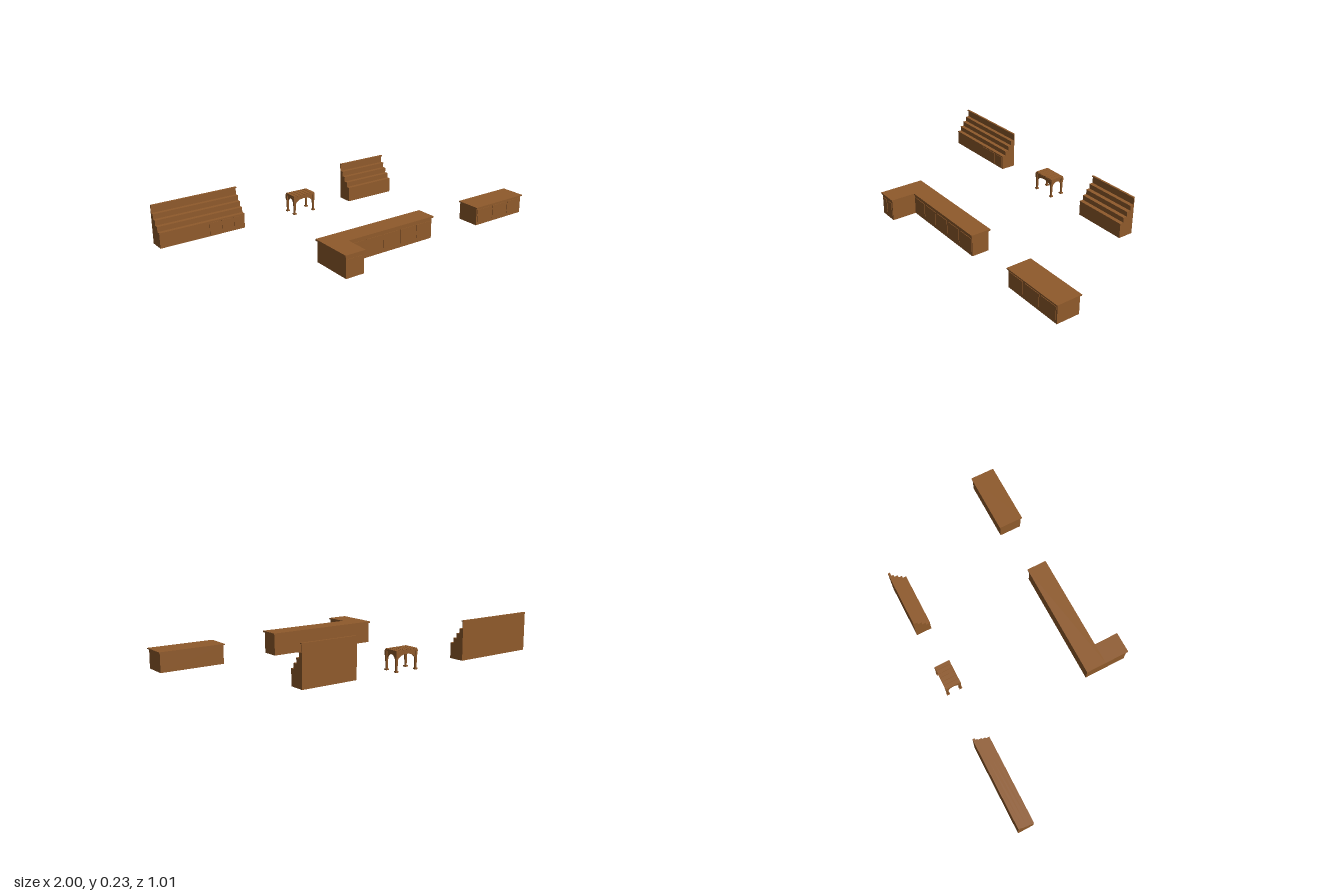
import * as THREE from 'three';

const wood = new THREE.MeshStandardMaterial({ color: 0x8f5a2b });
wood.name = 'brown wood';

function mesh(parent, name, geometry) {
  const m = new THREE.Mesh(geometry, wood);
  m.name = name;
  parent.add(m);
  return m;
}

// Box given by its minimum and maximum along each axis
function box(parent, name, x0, x1, y0, y1, z0, z1) {
  const m = mesh(parent, name, new THREE.BoxGeometry(x1 - x0, y1 - y0, z1 - z0));
  m.position.set((x0 + x1) / 2, (y0 + y1) / 2, (z0 + z1) / 2);
  return m;
}

function group(parent, name) {
  const g = new THREE.Group();
  g.name = name;
  parent.add(g);
  return g;
}

// Row of thin cupboard doors across a front face
function doors(parent, count, x0, x1, y0, y1, z) {
  const pitch = (x1 - x0) / count;
  for (let i = 0; i < count; i++) {
    const a = x0 + i * pitch + 0.008, b = x0 + (i + 1) * pitch - 0.008;
    box(parent, 'door', a, b, y0, y1, z, z + 0.003);
  }
}

// Outline in the z-y plane, extruded along x from x0 to x1
function extrudeAlongX(points, x0, x1) {
  const shape = new THREE.Shape(points.map(([z, y]) => new THREE.Vector2(z, y)));
  const geo = new THREE.ExtrudeGeometry(shape, { depth: x1 - x0, bevelEnabled: false });
  return geo.rotateY(-Math.PI / 2).translate(x1, 0, 0);
}

// Stepped display shelf, hollow and open underneath
function displayShelf(parent, name, x0, x1) {
  const g = group(parent, name);
  const t = 0.004, front = -0.407, back = -0.5, base = 0.09, rise = 0.03, run = 0.0225;
  const outline = [[back, 0], [front, 0], [front, base]];
  for (let i = 0; i < 4; i++) {
    const z = front - i * run, y = base + i * rise;
    const zNext = i < 3 ? z - run : back + t;
    // tread with a small lip, and the riser behind it
    box(g, 'tread', x0, x1, y - t, y, zNext - t / 2, z + 0.002);
    if (i < 3) {
      box(g, 'riser', x0 + t, x1 - t, y, y + rise - t, zNext - t, zNext);
      outline.push([zNext, y], [zNext, y + rise]);
    }
  }
  outline.push([back, base + 3 * rise]);
  mesh(g, 'sidePanel', extrudeAlongX(outline, x0, x0 + t));
  mesh(g, 'sidePanel', extrudeAlongX(outline, x1 - t, x1));
  box(g, 'frontPanel', x0 + t, x1 - t, 0, base - t, front - t, front);
  box(g, 'backPanel', x0, x1, 0, 0.223, back, back + t);
  box(g, 'topCap', x0, x1, 0.222, 0.227, back, back + 0.013);
  return g;
}

// Small table on four shaped legs with arched aprons
function smallTable(parent) {
  const g = group(parent, 'smallTable');
  const w = 0.148, d = 0.092, apronTop = 0.107;

  // top panel and raised slats
  box(g, 'topPanel', -w / 2, w / 2, 0.104, 0.112, -d / 2, d / 2);
  const slats = 6, pitch = w / slats;
  for (let i = 0; i < slats; i++) {
    const x = -w / 2 + i * pitch;
    box(g, 'slat', x + 0.0015, x + pitch - 0.0015, 0.112, 0.116, -d / 2 + 0.002, d / 2 - 0.002);
  }

  // turned legs with square feet and shoulder blocks
  for (const sx of [-1, 1]) for (const sz of [-1, 1]) {
    const leg = group(g, 'leg');
    leg.position.set(sx * (w / 2 - 0.007), 0, sz * (d / 2 - 0.007));
    box(leg, 'foot', -0.009, 0.009, 0, 0.007, -0.009, 0.009);
    box(leg, 'shoulder', -0.008, 0.008, 0.08, apronTop, -0.008, 0.008);
    const shaft = mesh(leg, 'shaft', new THREE.CylinderGeometry(0.009, 0.006, 0.075, 8));
    shaft.position.y = 0.044;
  }

  // arched apron on each side
  const apron = (span) => {
    const s = new THREE.Shape();
    s.moveTo(-span / 2, apronTop);
    s.lineTo(-span / 2, 0.055);
    s.quadraticCurveTo(-span / 2 + 0.008, 0.09, 0, 0.092);
    s.quadraticCurveTo(span / 2 - 0.008, 0.09, span / 2, 0.055);
    s.lineTo(span / 2, apronTop);
    return new THREE.ExtrudeGeometry(s, { depth: 0.006, bevelEnabled: false, curveSegments: 6 })
      .translate(0, 0, -0.003);
  };
  for (const s of [-1, 1]) {
    mesh(g, 'longApron', apron(w - 0.022)).position.z = s * (d / 2 - 0.007);
    const side = mesh(g, 'shortApron', apron(d - 0.022));
    side.rotation.y = Math.PI / 2;
    side.position.x = s * (w / 2 - 0.007);
  }
  return g;
}

export function createModel() {
  const root = new THREE.Group();
  root.name = 'shopFurniture';

  // Display shelves along the back
  const wide = displayShelf(root, 'wideDisplayShelf', -1, -0.48);
  doors(wide, 3, -0.71, -0.48, 0.008, 0.08, -0.407);
  displayShelf(root, 'narrowDisplayShelf', 0.27, 0.6);

  smallTable(root).position.set(-0.065, 0, -0.455);

  // Corner counter
  const corner = group(root, 'cornerCounter');
  box(corner, 'mainBody', -0.413, 0.283, 0, 0.122, 0.247, 0.352);
  box(corner, 'wingBody', -0.413, -0.302, 0, 0.122, 0.352, 0.499);
  box(corner, 'mainTop', -0.42, 0.29, 0.122, 0.131, 0.24, 0.36);
  box(corner, 'wingTop', -0.42, -0.295, 0.122, 0.131, 0.36, 0.505);
  doors(corner, 5, -0.302, 0.283, 0.025, 0.105, 0.352);
  doors(corner, 2, -0.413, -0.302, 0.025, 0.105, 0.499);

  // Straight counter
  const straight = group(root, 'straightCounter');
  box(straight, 'body', 0.622, 0.993, 0, 0.106, 0.232, 0.368);
  box(straight, 'top', 0.615, 1, 0.106, 0.112, 0.226, 0.376);
  doors(straight, 3, 0.622, 0.993, 0.02, 0.095, 0.368);

  return root;
}
